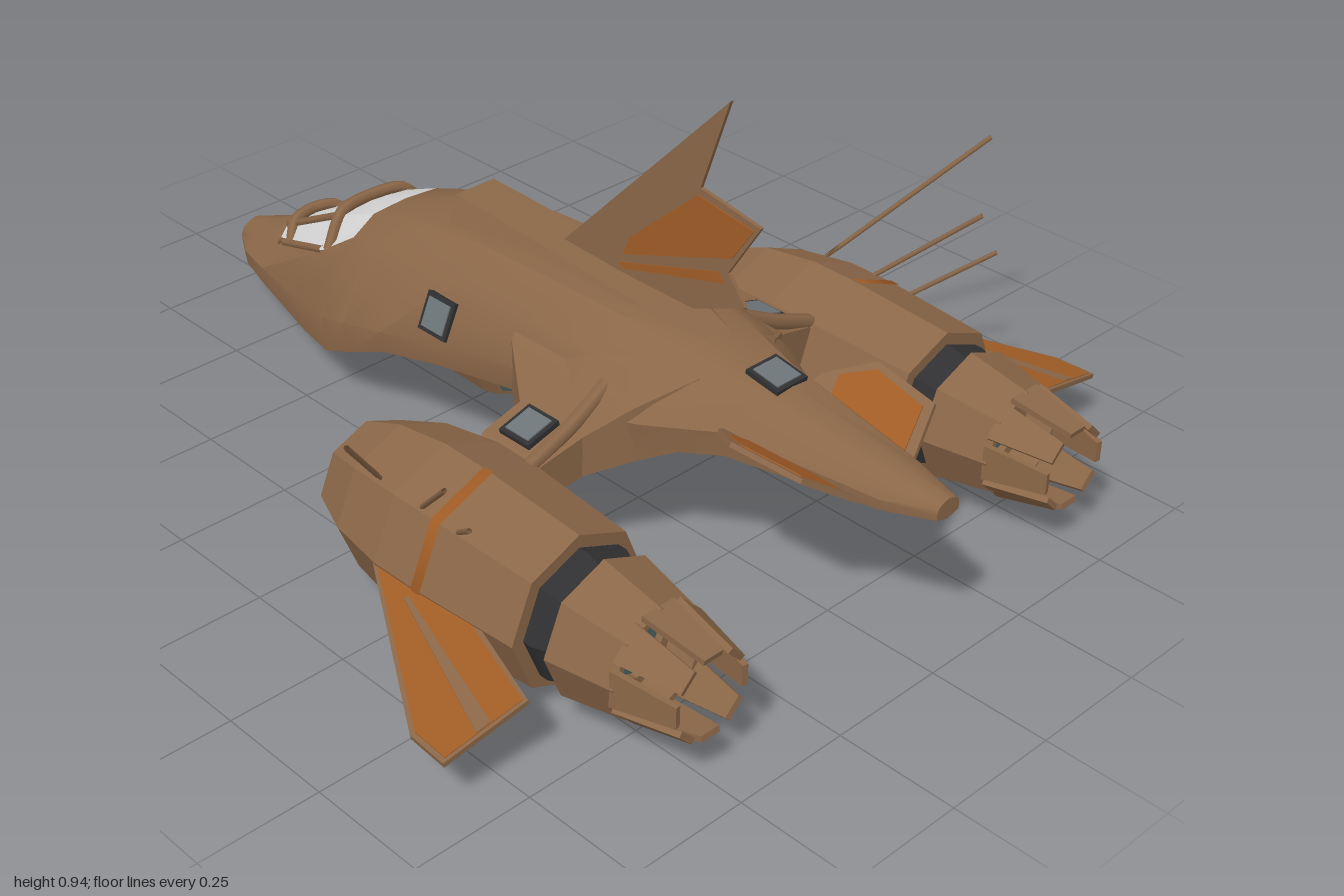
import * as THREE from 'three';
import { toCreasedNormals } from 'three/addons/utils/BufferGeometryUtils.js';

const mat = (name, color, side = THREE.FrontSide) => {
  const m = new THREE.MeshStandardMaterial({ color, side });
  m.name = name;
  return m;
};
const V = (x, y, z) => new THREE.Vector3(x, y, z);

// Hull stations: z, then [x, y] of crown edge, shoulder, widest point, keel edge
const STATIONS = [
  [-1, [.02, .145], [.035, .135], [.042, .118], [.02, .09]],
  [-.92, [.04, .17], [.07, .152], [.09, .125], [.05, .083]],
  [-.81, [.05, .222], [.075, .19], [.125, .14], [.08, .082]],
  [-.57, [.085, .352], [.138, .287], [.2, .18], [.13, .09]],
  [-.455, [.085, .4], [.14, .365], [.232, .21], [.16, .1]],
  [-.38, [.09, .425], [.15, .385], [.237, .23], [.17, .135]],
  [-.26, [.095, .455], [.16, .4], [.235, .26], [.16, .195]],
  [-.1, [.1, .477], [.17, .42], [.225, .3], [.14, .23]],
  [.1, [.105, .487], [.17, .43], [.205, .33], [.12, .255]],
  [.3, [.1, .485], [.17, .43], [.25, .34], [.12, .265]],
  [.45, [.08, .465], [.14, .425], [.2, .36], [.09, .285]],
  [.58, [.055, .445], [.09, .405], [.12, .37], [.06, .3]],
  [.9, [.035, .395], [.052, .38], [.064, .36], [.035, .33]],
  [1, [.02, .378], [.027, .372], [.03, .362], [.015, .346]],
];
// Full ring of one station; the lower side bulges between widest point and keel
function hullRing([z, crown, shoulder, wide, keel]) {
  const lower = [.92 * wide[0] + .08 * keel[0], .25 * wide[1] + .75 * keel[1]];
  const half = [crown, shoulder, wide, lower, keel];
  return [
    V(0, crown[1] + .006, z), ...half.map(([x, y]) => V(x, y, z)),
    V(0, keel[1] - .004, z), ...half.reverse().map(([x, y]) => V(-x, y, z)),
  ];
}
// Hull ring interpolated at any z
function ringAt(z) {
  const i = STATIONS.findIndex(s => s[0] >= z);
  const a = hullRing(STATIONS[i - 1]), b = hullRing(STATIONS[i]);
  const t = (z - a[0].z) / (b[0].z - a[0].z);
  return a.map((p, j) => p.clone().lerp(b[j], t));
}

// Skin between rings of points, with end caps; keep(i, j) selects the faces
function loft(rings, crease = 0.05, keep = () => true, caps = true) {
  const pos = [], tri = (...ps) => ps.forEach(p => pos.push(p.x, p.y, p.z));
  const n = rings[0].length;
  for (let i = 0; i < rings.length - 1; i++) for (let j = 0; j < n; j++) {
    if (!keep(i, j)) continue;
    const k = (j + 1) % n, a = rings[i][j], b = rings[i][k], c = rings[i + 1][k], d = rings[i + 1][j];
    tri(a, d, c);
    tri(a, c, b);
  }
  const A = rings[0], Z = rings[rings.length - 1];
  if (caps) for (let j = 1; j < n - 1; j++) {
    tri(A[0], A[j], A[j + 1]);
    tri(Z[0], Z[j + 1], Z[j]);
  }
  const g = new THREE.BufferGeometry();
  g.setAttribute('position', new THREE.Float32BufferAttribute(pos, 3));
  return toCreasedNormals(g, crease);
}
// Thin slab from a convex flat outline
function slab(pts, t = .01) {
  const p = pts.map(q => V(...q));
  const n = p[1].clone().sub(p[0]).cross(p[2].clone().sub(p[0])).setLength(t / 2);
  return loft([p.map(q => q.clone().add(n)), p.map(q => q.clone().sub(n))]);
}
// Eight-sided faceted turning along z, profile given as [radius, z]
function turned(profile) {
  const g = new THREE.LatheGeometry(profile.map(([r, z]) => new THREE.Vector2(r, z)), 8);
  g.rotateX(Math.PI / 2);
  const f = g.toNonIndexed();
  f.computeVertexNormals();
  return f;
}
// Upright plate on the centre plane, outline given as [z, y]
function finPlate(pts, t) {
  const s = new THREE.Shape(pts.map(p => new THREE.Vector2(...p)));
  return new THREE.ExtrudeGeometry(s, { depth: t, bevelEnabled: false }).rotateY(-Math.PI / 2).translate(t / 2, 0, 0);
}
const tube = (pts, r) => new THREE.TubeGeometry(new THREE.CatmullRomCurve3(pts, false, 'catmullrom', .4), pts.length * 4, r, 6);

export function createModel() {
  const root = new THREE.Group();
  root.name = 'spacecraft';
  const brown = mat('hull brown', 0x8b6748, THREE.DoubleSide), orange = mat('burnt orange', 0xa05c26);
  const white = mat('canopy white', 0xd8d8d8), black = mat('charcoal', 0x303032);
  const teal = mat('exhaust teal', 0x48625f), grey = mat('hatch grey', 0x6c7579);
  const add = (parent, name, geo, m) => {
    const o = new THREE.Mesh(geo, m);
    o.name = name;
    parent.add(o);
    return o;
  };
  const hatch = (parent, name, x, y, z) => {
    const g = new THREE.Group();
    g.name = name;
    g.position.set(x, y, z);
    add(g, 'hatchFrame', new THREE.BoxGeometry(.08, .014, .08), black);
    add(g, 'hatchPane', new THREE.BoxGeometry(.062, .02, .062), grey);
    parent.add(g);
    return g;
  };

  // Hull and canopy glass
  const rings = STATIONS.map(hullRing);
  const isGlass = (i, j) => i >= 2 && i <= 3 && (j < 2 || j > 9);
  add(root, 'hull', loft(rings, .6, (i, j) => !isGlass(i, j)), brown);
  add(root, 'canopyGlass', loft(rings, .6, isGlass, false), white);
  for (const z of [-.77, -.565]) {
    const r = ringAt(z);
    const arch = [r[10], r[11], r[0], r[1], r[2]].map((p, i) => p.clone().add(V(0, .008, [.02, 0, -.01, 0, .02][i])));
    add(root, 'canopyArch', tube(arch, .013), brown);
  }
  for (const s of [1, 2, 10, 11])
    add(root, 'canopyRail', tube([ringAt(-.8)[s], ringAt(-.565)[s]], .009), brown);

  // Spine fairing
  const spineRing = (z, w, y) => [V(-w, y, z), V(w, y, z), V(w + .03, .44, z), V(-w - .03, .44, z)];
  add(root, 'spine', loft([spineRing(-.23, .05, .52), spineRing(.05, .055, .507), spineRing(.31, .06, .495), spineRing(.5, .02, .46)]), brown);

  // Tail fin with painted panels
  add(root, 'tailFin', finPlate([[.03, .5], [.46, .95], [.395, .755], [.545, .73], [.47, .61], [.515, .555], [.385, .5]], .008), brown);
  add(root, 'finUpperPanel', finPlate([[.39, .74], [.53, .72], [.48, .645], [.2, .54], [.22, .585]], .012), orange);
  add(root, 'finLowerPanel', finPlate([[.45, .605], [.46, .585], [.2, .51], [.19, .52]], .012), orange);

  // Belly: rear window block, sensor pod, nose gear box
  const bellyRing = (z, y) => [V(-.2, .31, z), V(.2, .31, z), V(.165, y, z), V(-.165, y, z)];
  add(root, 'bellyBlock', loft([bellyRing(.08, .258), bellyRing(.3, .24)]), brown);
  add(root, 'bellyWindow', slab([[-.165, .248, .302], [.165, .248, .302], [.185, .295, .302], [-.185, .295, .302]], .008), teal);
  const pod = add(root, 'bellyPod', turned([[0, -.3], [.045, -.3], [.062, -.26], [.064, -.16], [.055, -.12], [0, -.12]]), brown);
  pod.position.y = .132;
  add(root, 'podLens', turned([[.045, -.122], [.045, -.115], [0, -.115]]), teal).position.y = .132;
  add(root, 'podMount', new THREE.BoxGeometry(.07, .07, .1), brown).position.set(0, .205, -.2);
  add(root, 'noseGearBox', new THREE.BoxGeometry(.12, .045, .12), black).position.set(0, .097, -.47);
  hatch(root, 'tailHatch', 0, .447, .595).rotation.x = .16;
  hatch(root, 'tailLowerHatch', 0, .298, .6).rotation.x = -.1;
  hatch(root, 'noseLowerHatch', 0, .083, -.72);

  // Parts on the +x side, mirrored afterwards
  const side = new THREE.Group();
  side.name = 'leftSide';
  hatch(side, 'flankHatch', .204, .35, -.11).rotation.z = -1.17;

  // Pylon
  const pylonRing = (x, z0, z1, y0, y1) => [V(x, y1, z0), V(x, y0, z0), V(x, y0, z1), V(x, y1, z1)];
  const pylon = [[.1, .04, .5, .29, .44], [.2, .1, .43, .27, .385], [.27, .2, .37, .24, .325], [.36, .2, .36, .22, .3], [.42, .21, .35, .19, .26]];
  add(side, 'pylon', loft(pylon.map(p => pylonRing(...p))), brown);
  hatch(side, 'pylonHatch', .31, .318, .27).rotation.z = -.28;
  add(side, 'pylonStrut', tube([V(.18, .39, .34), V(.27, .345, .345), V(.38, .3, .345)], .016), brown);

  // Tail winglet, painted on top
  add(side, 'winglet', slab([[.07, .34, .56], [.07, .34, .86], [.18, .412, .82], [.2, .425, .67], [.14, .386, .585]]), brown);
  add(side, 'wingletPanel', slab([[.09, .357, .64], [.09, .357, .83], [.165, .406, .805], [.185, .419, .68], [.15, .396, .62]], .008), orange);

  // Engine
  const engine = new THREE.Group();
  engine.name = 'engine';
  engine.position.set(.495, .18, 0);
  side.add(engine);
  add(engine, 'engineCasing', turned([[.1, .06], [.1, .02], [.115, .02], [.155, .12], [.175, .25], [.174, .36], [.158, .6], [.1, .6]]), brown);
  add(engine, 'intake', turned([[0, .035], [.1, .035], [.1, .06]]), black);
  add(engine, 'spinner', turned([[0, -.045], [.05, .02], [.068, .04]]), brown);
  add(engine, 'engineBand', turned([[.132, .59], [.132, .62], [.112, .67]]), black);
  add(engine, 'nozzle', turned([[.095, .66], [.14, .66], [.113, .8], [.1, .8], [.1, .7]]), brown);
  add(engine, 'exhaustRing', turned([[.105, .72], [.085, .745], [.065, .745], [.065, .7]]), brown);
  add(engine, 'exhaustGlow', turned([[.07, .73], [0, .73]]), teal);
  for (let i = 0; i < 8; i++) {
    const petal = add(engine, 'nozzlePetal', slab([[-.038, .107, .79], [-.022, .08, .92], [.022, .08, .92], [.038, .107, .79]], .012), brown);
    petal.rotation.z = i * Math.PI / 4;
  }
  add(engine, 'engineStripe', new THREE.CylinderGeometry(.1765, .1765, .024, 3, 1, true, .25 * Math.PI, .75 * Math.PI)
    .rotateX(Math.PI / 2).translate(0, 0, .365), orange);

  // Engine wing with painted panel and centre strip, and aerials
  add(side, 'engineWing', slab([[.64, .175, .2], [.64, .175, .48], [.71, .158, .705], [.885, .115, .69], [.88, .116, .6]]), brown);
  add(side, 'engineWingPanel', slab([[.65, .172, .23], [.65, .172, .48], [.715, .156, .697], [.875, .117, .684], [.871, .118, .603]], .014), orange);
  add(side, 'engineWingStrip', slab([[.69, .163, .36], [.68, .165, .36], [.78, .14, .69], [.81, .133, .688]], .017), brown);
  const aerials = [[.6, .3, .19, .84, .58, .41], [.6, .29, .3, .71, .48, .5], [.6, .29, .4, .7, .42, .55]];
  for (const [a, b, c, d, e, f] of aerials)
    add(side, 'aerial', tube([V(a, b, c), V(d, e, f)], .005), brown);

  root.add(side);
  const other = side.clone();
  other.name = 'rightSide';
  other.scale.x = -1;
  root.add(other);
  return root;
}
